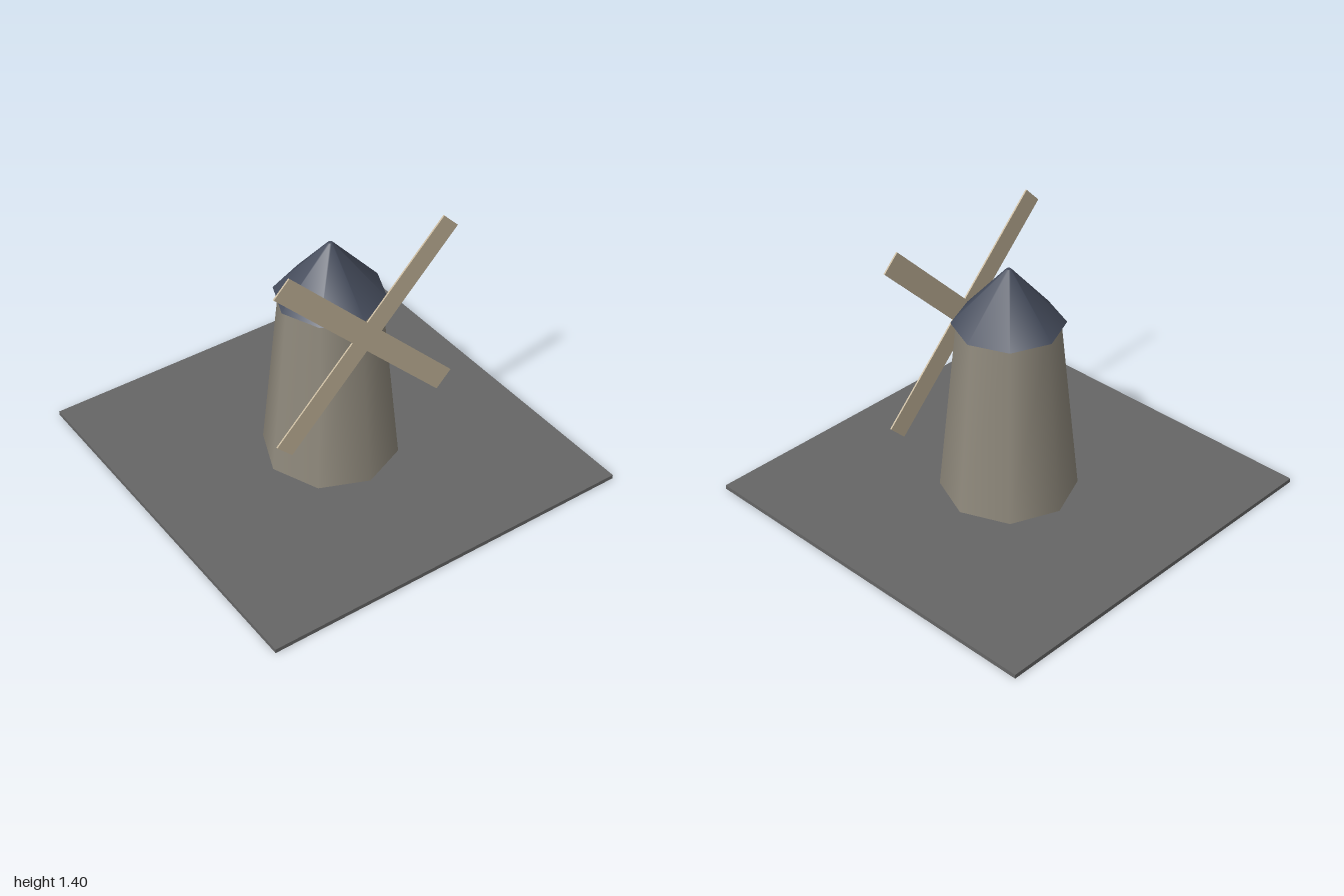
import * as THREE from 'three';

const material = (name, color) => {
  const m = new THREE.MeshStandardMaterial({ color });
  m.name = name;
  return m;
};

export function createModel() {
  const ground = material('ground grey', 0x666666);
  const stone = material('warm stone', 0x8f897c);
  const slate = material('slate blue', 0x454c5c);
  const wood = material('pale wood', 0xc4b59a);

  const model = new THREE.Group();
  model.name = 'windmill';

  const add = (parent, name, geometry, mat, x, y, z) => {
    const mesh = new THREE.Mesh(geometry, mat);
    mesh.name = name;
    mesh.position.set(x, y, z);
    parent.add(mesh);
    return mesh;
  };

  // Square ground slab
  add(model, 'base', new THREE.BoxGeometry(2, 0.022, 2), ground, 0, 0.011, 0);

  // Tapered eight-sided tower with smooth walls, and its overhanging cap
  add(model, 'tower', new THREE.CylinderGeometry(0.25, 0.345, 0.938, 8), stone, 0, 0.491, 0);
  add(model, 'roof', new THREE.CylinderGeometry(0.012, 0.277, 0.292, 8), slate, 0, 1.104, 0);

  // Four sail arms in a diagonal cross, joined by a square hub
  const sails = new THREE.Group();
  sails.name = 'sails';
  sails.position.set(0, 0.885, 0.295);
  model.add(sails);
  const width = 0.117, reach = 0.665, depth = 0.008;
  const armLength = reach - width / 2;
  const middle = (reach + width / 2) / 2;
  const hub = add(sails, 'sailHub', new THREE.BoxGeometry(width, width, depth), wood, 0, 0, 0);
  hub.rotation.z = Math.PI / 4;
  for (let i = 0; i < 4; i++) {
    const a = Math.PI / 4 + (i * Math.PI) / 2;
    const arm = add(sails, `sailArm${i + 1}`, new THREE.BoxGeometry(armLength, width, depth), wood,
      Math.cos(a) * middle, Math.sin(a) * middle, 0);
    arm.rotation.z = a;
  }

  return model;
}
